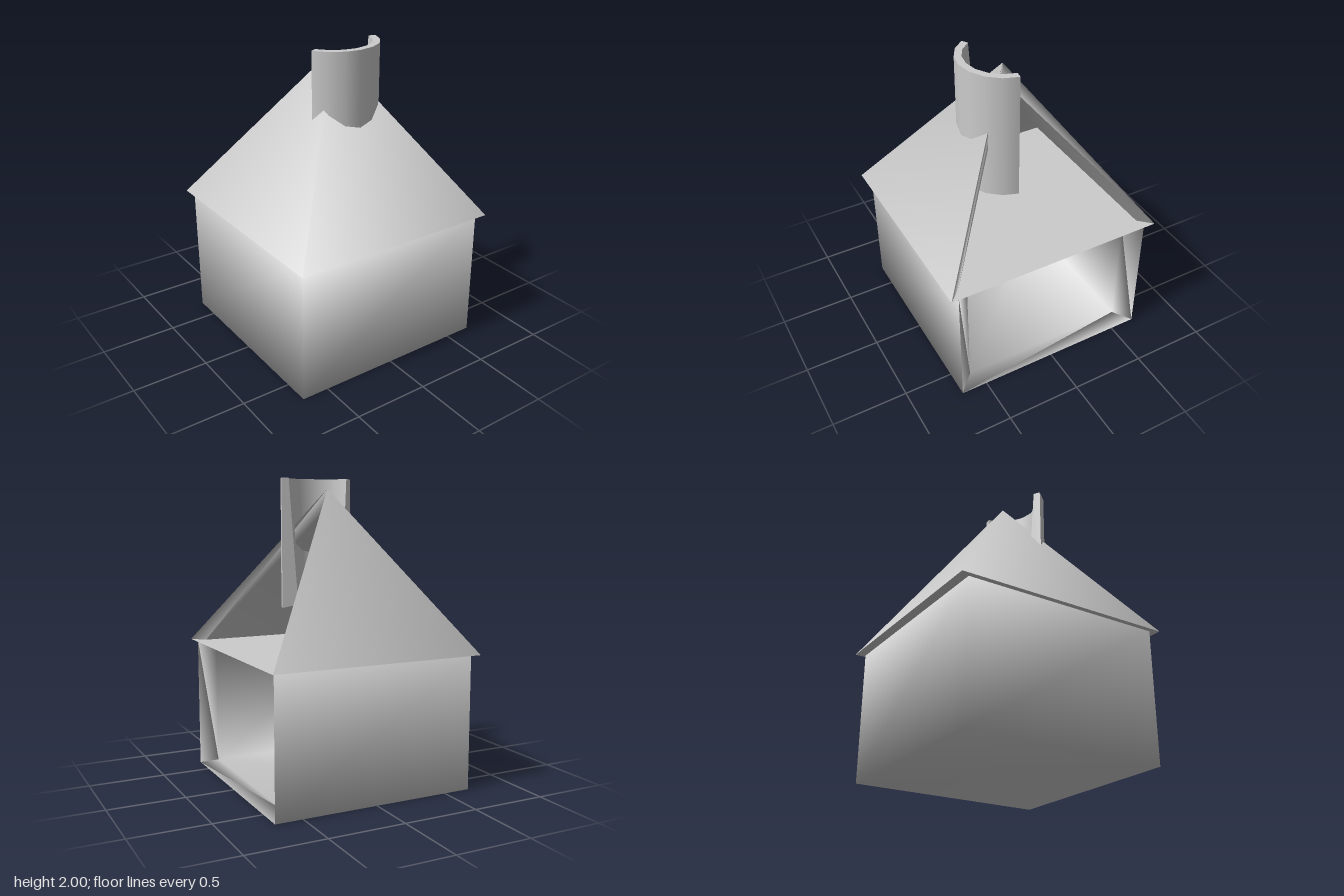
import * as THREE from 'three';

const material = new THREE.MeshStandardMaterial({ color: 0xcccccc, side: THREE.DoubleSide });

// Mesh from shared corners and polygon faces (smooth normals across the corners)
function polyMesh(name, corners, faces) {
  const geometry = new THREE.BufferGeometry();
  geometry.setAttribute('position', new THREE.Float32BufferAttribute(corners.flat(), 3));
  const index = [];
  for (const f of faces) {
    for (let i = 1; i < f.length - 1; i++) index.push(f[0], f[i], f[i + 1]);
  }
  geometry.setIndex(index);
  geometry.computeVertexNormals();
  const mesh = new THREE.Mesh(geometry, material);
  mesh.name = name;
  return mesh;
}

// Four corners of a rectangle at height y, counted from back left
const ring = (x, y, z) => [[-x, y, -z], [x, y, -z], [x, y, z], [-x, y, z]];

// Inner skin: the same faces on the second set of corners, turned round
const inner = (faces, n) => faces.map((f) => f.map((i) => i + n).reverse());

// Rim strips joining the outer and inner skins along a path of corners
const rim = (path, n) => path.slice(1).map((b, i) => [path[i], b, b + n, path[i] + n]);

export function createModel() {
  const model = new THREE.Group();
  model.name = 'house';

  // Walls: hollow box, open at the back, with a bevelled rim
  const boxFaces = [[3, 2, 6, 7], [2, 1, 5, 6], [0, 3, 7, 4], [0, 1, 2, 3], [7, 6, 5, 4]];
  model.add(polyMesh('walls',
    [...ring(0.675, 0, 0.68), ...ring(0.675, 0.887, 0.68),
      ...ring(0.57, 0.035, 0.58), ...ring(0.57, 0.852, 0.58)],
    [...boxFaces, ...inner(boxFaces, 8), ...rim([1, 0, 4, 5, 1], 8)]));

  // Roof: three-sided pyramid shell, open at the back
  const roofFaces = [[3, 2, 4], [2, 1, 4], [0, 3, 4]];
  model.add(polyMesh('roof',
    [...ring(0.735, 0.89, 0.71), [0, 1.93, 0], ...ring(0.65, 0.89, 0.628), [0, 1.81, 0]],
    [...roofFaces, ...inner(roofFaces, 5), ...rim([0, 4, 1], 5)]));

  // Attic floor closing the roof from below
  model.add(polyMesh('atticFloor', ring(0.735, 0.89, 0.71), [[0, 1, 2, 3]]));

  // Chimney: part of a round flue whose wall thickens downwards
  const chimney = new THREE.Group();
  chimney.name = 'chimney';
  chimney.position.z = -0.01;
  const profile = [[0.297, 1.16], [0.297, 2], [0.25, 2], [0.19, 1.18]]
    .map(([r, y]) => new THREE.Vector2(r, y));
  const start = THREE.MathUtils.degToRad(30);
  const sweep = THREE.MathUtils.degToRad(140);
  // each side of the profile is swept on its own to keep the edges sharp
  for (let i = 0; i < 3; i++) {
    const side = new THREE.Mesh(
      new THREE.LatheGeometry([profile[i], profile[i + 1]], 7, start, sweep), material);
    side.name = ['chimneyOutside', 'chimneyTop', 'chimneyInside'][i];
    chimney.add(side);
  }
  for (const phi of [start, start + sweep]) {
    const end = new THREE.Mesh(new THREE.ShapeGeometry(new THREE.Shape(profile)), material);
    end.rotation.y = phi - Math.PI / 2;
    end.name = 'chimneyEnd';
    chimney.add(end);
  }
  model.add(chimney);

  return model;
}
